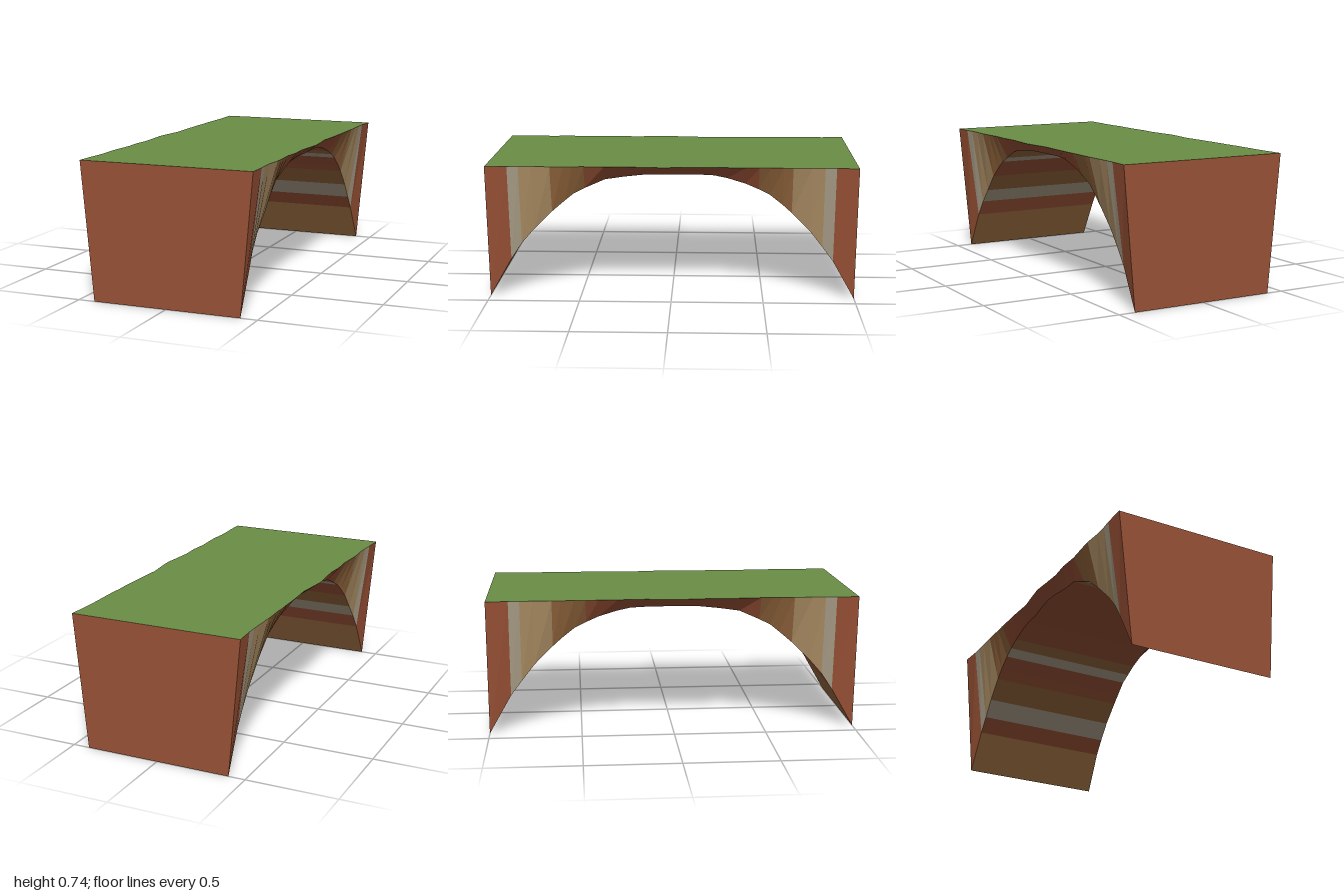
import * as THREE from 'three';

const TOP = 0.74;
const TAPER = 0.86; // underside width relative to the top width

const COLORS = {
  grass: 0x6b8e46, red: 0x9a5236, tan: 0xaf9066, brown: 0x96683e, grey: 0xaca08a,
};

// Cross-sections from front to back: z, underside height, half width at the top
const SECTIONS = [
  [1, 0, 0.475], [0.88, 0.21, 0.473], [0.82, 0.3, 0.468], [0.75, 0.38, 0.466],
  [0.65, 0.48, 0.473], [0.58, 0.54, 0.47], [0.53, 0.58, 0.467], [0.47, 0.61, 0.464],
  [0.36, 0.66, 0.471], [0.25, 0.675, 0.464], [0.14, 0.688, 0.472], [0.05, 0.69, 0.48],
  [-0.05, 0.69, 0.471], [-0.15, 0.687, 0.459], [-0.23, 0.684, 0.463], [-0.3, 0.67, 0.466],
  [-0.4, 0.64, 0.467], [-0.47, 0.61, 0.469], [-0.53, 0.58, 0.467], [-0.6, 0.525, 0.47],
  [-0.65, 0.48, 0.47], [-0.75, 0.38, 0.468], [-0.82, 0.29, 0.467], [-0.88, 0.21, 0.468],
  [-1, 0, 0.475],
];

// Rock strata on the side walls, by distance from the middle
function wallColor(d) {
  if (d > 0.88) return 'red';
  if (d > 0.82) return 'grey';
  if (d > 0.65) return 'tan';
  return d > 0.47 ? 'brown' : 'red';
}

// Narrower strata under the arch
function soffitColor(d) {
  if (d > 0.88) return 'brown';
  if (d > 0.82) return 'red';
  if (d > 0.75) return 'grey';
  if (d > 0.65) return 'brown';
  if (d > 0.53) return 'red';
  if (d > 0.47) return 'grey';
  return d > 0.36 ? 'brown' : 'red';
}

// Collects four-cornered faces by colour, then makes one mesh for each colour
function createPart(name) {
  const buckets = {};
  return {
    quad(color, a, b, c, d) {
      (buckets[color] ??= []).push(...a, ...b, ...c, ...a, ...c, ...d);
    },
    build() {
      const part = new THREE.Group();
      part.name = name;
      for (const [color, positions] of Object.entries(buckets)) {
        const geometry = new THREE.BufferGeometry();
        geometry.setAttribute('position', new THREE.Float32BufferAttribute(positions, 3));
        geometry.computeVertexNormals();
        const material = new THREE.MeshStandardMaterial({ color: COLORS[color], flatShading: true });
        const mesh = new THREE.Mesh(geometry, material);
        mesh.name = `${name} ${color}`;
        part.add(mesh);
      }
      return part;
    },
  };
}

export function createModel() {
  const deck = createPart('grassTop');
  const walls = createPart('sideWalls');
  const soffit = createPart('archUnderside');
  const ends = createPart('endFaces');

  // Corners of each section: top left, top right, bottom left, bottom right
  const rings = SECTIONS.map(([z, y, w]) => ({
    z,
    tl: [w, TOP, z], tr: [-w, TOP, z],
    bl: [w * TAPER, y, z], br: [-w * TAPER, y, z],
  }));

  for (let i = 0; i < rings.length - 1; i++) {
    const f = rings[i], b = rings[i + 1];
    const d = Math.abs(f.z + b.z) / 2;
    deck.quad('grass', f.tr, f.tl, b.tl, b.tr);
    soffit.quad(soffitColor(d), f.bl, f.br, b.br, b.bl);
    walls.quad(wallColor(d), f.bl, b.bl, b.tl, f.tl);
    walls.quad(wallColor(d), b.br, f.br, f.tr, b.tr);
  }

  // Flat cut faces at the front and the back
  const f = rings[0], b = rings[rings.length - 1];
  ends.quad('red', f.br, f.bl, f.tl, f.tr);
  ends.quad('red', b.bl, b.br, b.tr, b.tl);

  const model = new THREE.Group();
  model.name = 'rockArch';
  model.add(deck.build(), walls.build(), soffit.build(), ends.build());
  return model;
}
